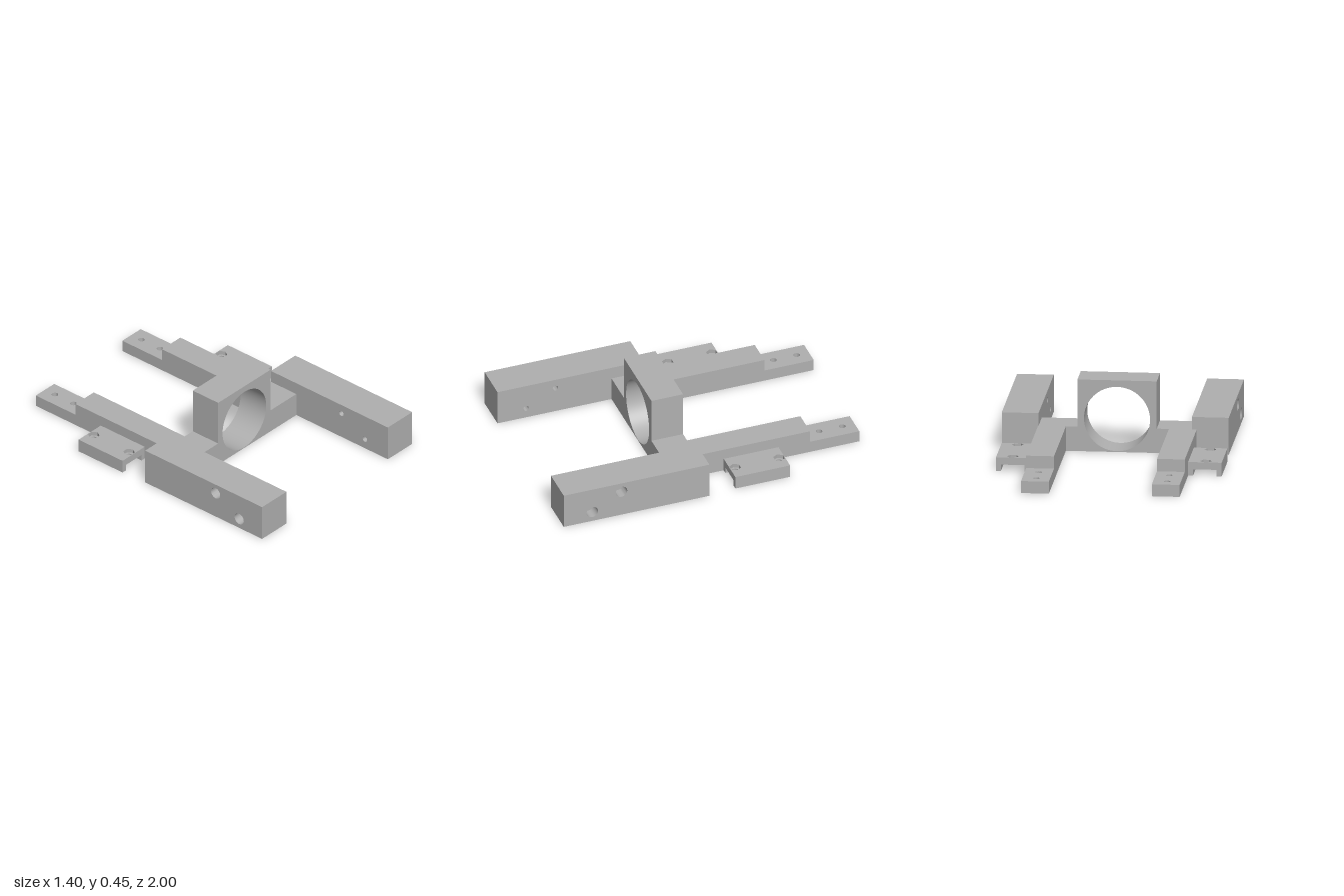
import * as THREE from 'three';
import { toCreasedNormals } from 'three/addons/utils/BufferGeometryUtils.js';

const grey = new THREE.MeshStandardMaterial({ color: 0xb0b0b0 });
grey.name = 'plain grey';

// Rectangle outline with round or six-sided holes: [u, v, radius, sides]
function outline(u0, u1, v0, v1, holes = []) {
  const shape = new THREE.Shape([[u0, v0], [u1, v0], [u1, v1], [u0, v1]].map(p => new THREE.Vector2(...p)));
  for (const [u, v, r, sides = 32] of holes) {
    const pts = [];
    for (let i = 0; i < sides; i++) {
      const a = -i / sides * Math.PI * 2;
      pts.push(new THREE.Vector2(u + r * Math.cos(a), v + r * Math.sin(a)));
    }
    shape.holes.push(new THREE.Path(pts));
  }
  return shape;
}

function extrude(shape, from, to) {
  const g = new THREE.ExtrudeGeometry(shape, { depth: to - from, bevelEnabled: false });
  return g.translate(0, 0, from);
}

function add(parent, name, geometry) {
  const mesh = new THREE.Mesh(toCreasedNormals(geometry, 0.5), grey);
  mesh.name = name;
  parent.add(mesh);
}

function box(parent, name, x0, x1, y0, y1, z0, z1) {
  const g = new THREE.BoxGeometry(x1 - x0, y1 - y0, z1 - z0);
  add(parent, name, g.translate((x0 + x1) / 2, (y0 + y1) / 2, (z0 + z1) / 2));
}

// Slab drilled vertically; holes are [x, z, radius, sides]
function flatSlab(parent, name, x0, x1, y0, y1, z0, z1, holes) {
  const s = outline(x0, x1, -z1, -z0, holes.map(([x, z, r, n]) => [x, -z, r, n]));
  add(parent, name, extrude(s, y0, y1).rotateX(-Math.PI / 2));
}

// Slab drilled sideways; holes are [z, y, radius]
function sideSlab(parent, name, x0, x1, y0, y1, z0, z1, holes) {
  const s = outline(-z1, -z0, y0, y1, holes.map(([z, y, r]) => [-z, y, r]));
  add(parent, name, extrude(s, x0, x1).rotateY(Math.PI / 2));
}

export function createModel() {
  const model = new THREE.Group();
  model.name = 'mountingFrame';

  // Upright block with the large bore, and the crossbeam on both sides
  add(model, 'boreBlock', extrude(outline(-0.25, 0.235, 0, 0.45, [[-0.0075, 0.207, 0.202, 72]]), 0.055, 0.26));
  box(model, 'crossbeamRight', -0.466, -0.25, 0, 0.153, 0.055, 0.26);
  box(model, 'crossbeamLeft', 0.235, 0.473, 0, 0.153, 0.055, 0.26);

  for (const side of [-1, 1]) {
    const group = new THREE.Group();
    group.name = side < 0 ? 'rightSide' : 'leftSide';
    model.add(group);
    // Order the two x limits measured outwards from a part's own centre line
    const span = (centre, a, b) => [centre + side * a, centre + side * b].sort((p, q) => p - q);

    // Front arm, with screw holes counterbored from the outside
    const bolts = [[0.815, 0.065], [0.625, 0.17]];
    sideSlab(group, 'frontArmInner', ...span(0.0035, 0.469, 0.62), 0, 0.232, 0.055, 1,
      bolts.map(b => [...b, 0.018]));
    sideSlab(group, 'frontArmOuter', ...span(0.0035, 0.62, 0.694), 0, 0.232, 0.055, 1,
      bolts.map(b => [...b, 0.037]));

    // Rear arm and its lower end, counterbored from underneath
    const arm = span(-0.0095, 0.315, 0.485);
    const armMid = (arm[0] + arm[1]) / 2;
    box(group, 'rearArm', ...arm, 0, 0.153, -0.68, 0.055);
    flatSlab(group, 'rearTabTop', ...arm, 0.035, 0.075, -1, -0.68,
      [-0.92, -0.77].map(z => [armMid, z, 0.02]));
    flatSlab(group, 'rearTabBottom', ...arm, 0, 0.035, -1, -0.68,
      [-0.92, -0.77].map(z => [armMid, z, 0.036]));

    // Side flange: nut pockets on top and a channel underneath
    const flange = span(-0.0095, 0.485, 0.69);
    const nutX = -0.0095 + side * 0.59;
    const nuts = [-0.44, -0.155];
    flatSlab(group, 'flangeNutLayer', ...flange, 0.06, 0.085, -0.475, -0.12,
      nuts.map(z => [nutX, z, 0.036, 6]));
    flatSlab(group, 'flangePlate', ...flange, 0.04, 0.06, -0.475, -0.12,
      nuts.map(z => [nutX, z, 0.019]));
    box(group, 'flangeOuterLip', ...span(-0.0095, 0.66, 0.69), 0, 0.04, -0.475, -0.12);
    box(group, 'flangeInnerLip', ...span(-0.0095, 0.485, 0.515), 0, 0.04, -0.475, -0.12);
  }
  return model;
}
